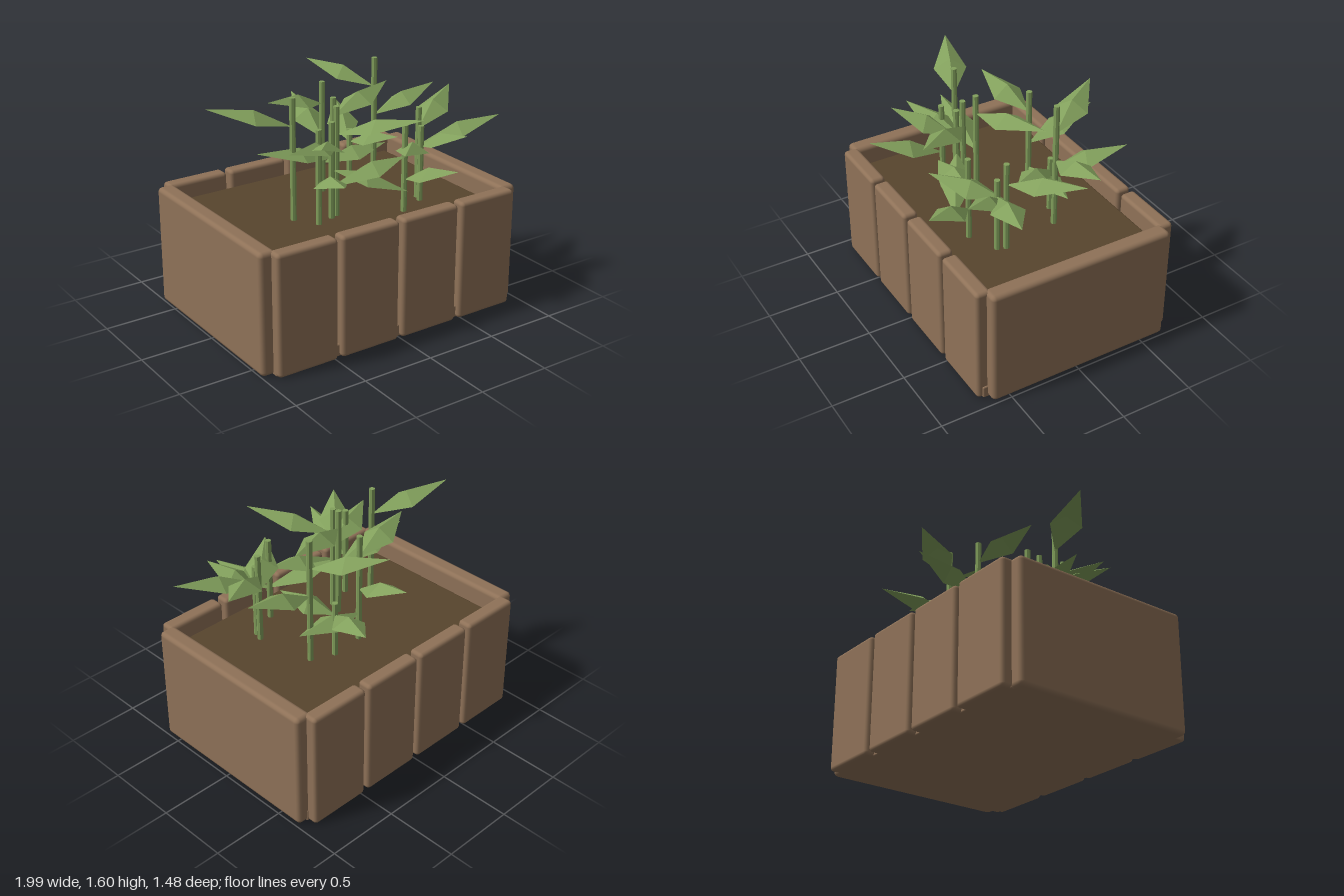
import * as THREE from 'three';
import { RoundedBoxGeometry } from 'three/addons/geometries/RoundedBoxGeometry.js';

const wood = new THREE.MeshStandardMaterial({ color: 0x8f7258 });
wood.name = 'wood';
const earth = new THREE.MeshStandardMaterial({ color: 0x58452d });
earth.name = 'earth';
const green = new THREE.MeshStandardMaterial({ color: 0x82a05c, side: THREE.DoubleSide, flatShading: true });
green.name = 'green';

// Rounded board given by its min and max on each axis
function board(name, [x0, x1], [y0, y1], [z0, z1], material, radius) {
  const mesh = new THREE.Mesh(new RoundedBoxGeometry(x1 - x0, y1 - y0, z1 - z0, 2, radius), material);
  mesh.position.set((x0 + x1) / 2, (y0 + y1) / 2, (z0 + z1) / 2);
  mesh.name = name;
  return mesh;
}

// Kite-shaped leaf with a raised midrib, from a point on the stem to its tip
function leaf(base, tip) {
  const along = tip.clone().sub(base);
  const side = new THREE.Vector3(-along.z, 0, along.x).normalize().multiplyScalar(0.11);
  const middle = base.clone().addScaledVector(along, 0.45);
  const left = middle.clone().sub(side);
  const right = middle.clone().add(side);
  left.y -= 0.01;
  right.y -= 0.01;
  const ridge = middle.clone();
  ridge.y += 0.06;
  const corners = [base, right, ridge, right, tip, ridge, tip, left, ridge, left, base, ridge];
  // wind each face so that its outside is the top
  for (let i = 0; i < corners.length; i += 3) {
    const n = corners[i + 1].clone().sub(corners[i]).cross(corners[i + 2].clone().sub(corners[i]));
    if (n.y < 0) [corners[i], corners[i + 1]] = [corners[i + 1], corners[i]];
  }
  const geometry = new THREE.BufferGeometry().setFromPoints(corners);
  geometry.computeVertexNormals();
  const mesh = new THREE.Mesh(geometry, green);
  mesh.name = 'leaf';
  return mesh;
}

// Stems: x, z, top height, then leaves as [base height, tip x, tip y, tip z]
const plants = [
  { x: -0.42, z: 0.09, top: 1.54, leaves: [[1.35, -0.92, 1.5, -0.12]] },
  { x: -0.325, z: 0.24, top: 1.355, leaves: [[1.0, -0.45, 1.15, 0.71]] },
  { x: -0.12, z: 0.1, top: 1.49, leaves: [[1.36, 0.43, 1.46, -0.08], [1.08, -0.67, 1.21, 0.06]] },
  { x: -0.15, z: 0.18, top: 1.46, leaves: [[1.27, 0.19, 1.43, 0.645], [1.18, -0.61, 1.28, 0.35]] },
  { x: -0.2, z: 0.2, top: 1.37, leaves: [[1.18, -0.49, 1.34, 0.52], [1.05, 0.22, 0.89, 0.45]] },
  { x: 0.01, z: -0.22, top: 1.49, leaves: [[1.1, 0.055, 1.3, -0.67], [1.34, -0.46, 1.45, -0.14], [0.92, 0.52, 0.97, -0.2]] },
  { x: 0.4, z: -0.175, top: 1.6, leaves: [[1.4, 0.135, 1.54, -0.6], [1.2, 0.9, 1.345, -0.17]] },
  { x: 0.245, z: -0.24, top: 1.11, leaves: [[1.02, 0.44, 1.17, -0.7], [1.02, 0.4, 1.12, 0.1]] },
  { x: 0.47, z: 0.225, top: 1.35, leaves: [[1.2, 0.945, 1.355, -0.05], [1.08, 0.1, 1.19, 0.57], [1.08, 0.6, 1.22, 0.57]] },
  { x: 0.45, z: 0.28, top: 1.24, leaves: [[1.12, 0.985, 1.26, 0.43]] },
  { x: 0.25, z: 0.37, top: 1.31, leaves: [[0.94, 0.4, 1.07, 0.73], [1.1, -0.28, 0.98, 0.3]] },
];

export function createModel() {
  const model = new THREE.Group();
  model.name = 'planter';

  // Box: floor, two side panels, four slats front and back
  const box = new THREE.Group();
  box.name = 'box';
  box.add(board('floor', [-0.92, 0.92], [0, 0.085], [-0.68, 0.66], wood, 0.01));
  const height = [0, 0.825];
  box.add(board('rightPanel', [-1, -0.88], height, [-0.675, 0.625], wood, 0.03));
  box.add(board('leftPanel', [0.865, 0.985], height, [-0.675, 0.625], wood, 0.03));
  for (let i = 0; i < 4; i++) {
    const x = -0.92 + i * 0.465;
    box.add(board('frontSlat', [x, x + 0.435], height, [0.59, 0.695], wood, 0.025));
    box.add(board('backSlat', [x, x + 0.435], height, [-0.745, -0.64], wood, 0.025));
  }
  model.add(box);

  // Soil
  model.add(board('soil', [-0.845, 0.83], [0.665, 0.72], [-0.625, 0.57], earth, 0.015));

  // Plants
  for (const { x, z, top, leaves } of plants) {
    const plant = new THREE.Group();
    plant.name = 'plant';
    const stem = new THREE.Mesh(new THREE.CylinderGeometry(0.02, 0.02, top - 0.7, 8), green);
    stem.position.set(x, (top + 0.7) / 2, z);
    stem.name = 'stem';
    plant.add(stem);
    for (const [y, tx, ty, tz] of leaves) {
      plant.add(leaf(new THREE.Vector3(x, y, z), new THREE.Vector3(tx, ty, tz)));
    }
    model.add(plant);
  }
  return model;
}
